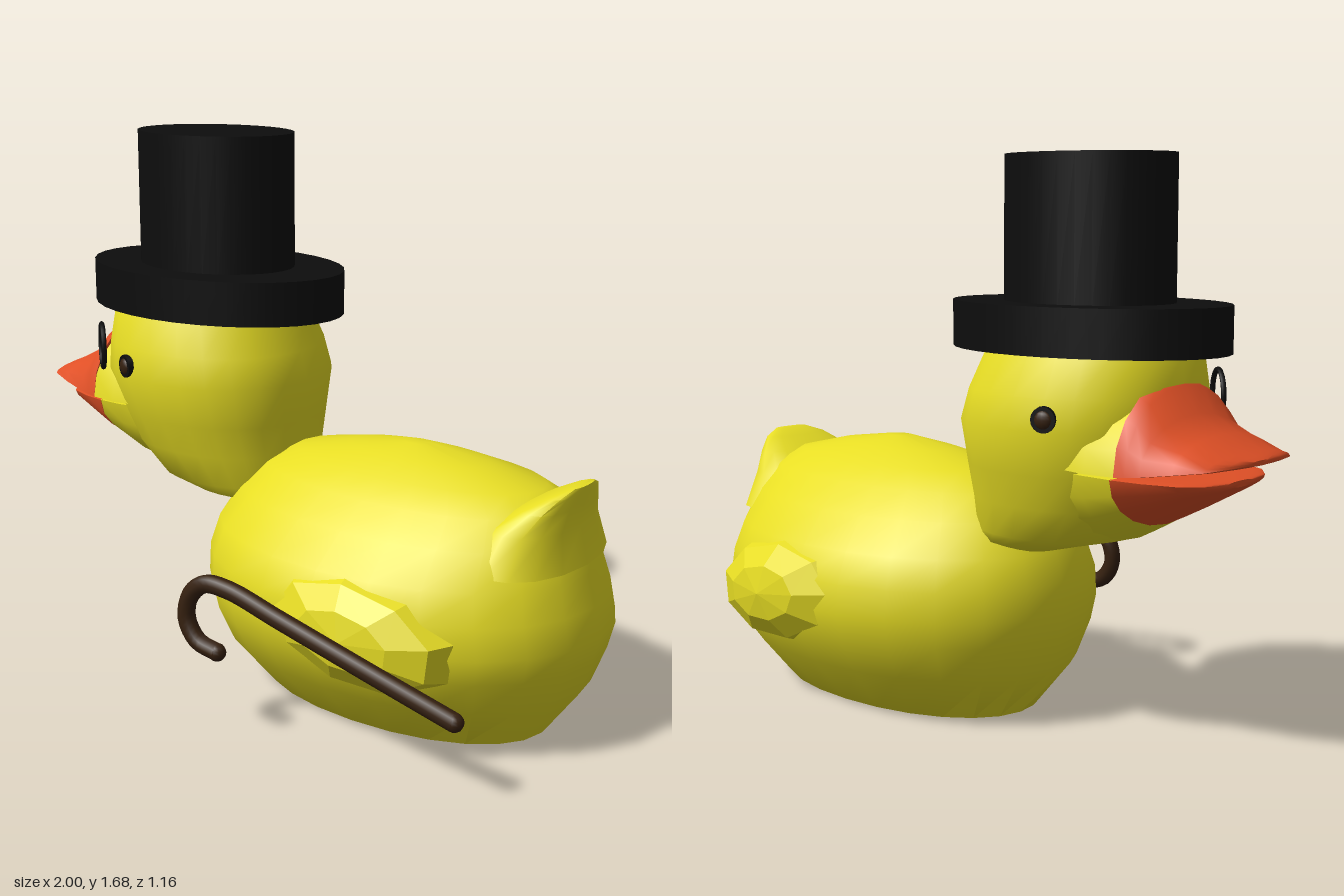
import * as THREE from 'three';
import { toCreasedNormals } from 'three/addons/utils/BufferGeometryUtils.js';

const mat = (name, color) => {
  const m = new THREE.MeshStandardMaterial({ color });
  m.name = name;
  return m;
};

// Skin a stack of closed rings and cap both ends
function loft(rings, crease = 0.9) {
  const n = rings[0].length, pos = [], idx = [];
  rings.forEach(r => r.forEach(p => pos.push(...p)));
  for (let i = 0; i < rings.length - 1; i++) {
    for (let j = 0; j < n; j++) {
      const k = (j + 1) % n, a = i * n + j, b = i * n + k;
      idx.push(a, a + n, b, b, a + n, b + n);
    }
  }
  [0, rings.length - 1].forEach((r, end) => {
    const c = pos.length / 3;
    pos.push(...[0, 1, 2].map(d => rings[r].reduce((s, p) => s + p[d], 0) / n));
    for (let j = 0; j < n; j++) {
      const a = r * n + j, b = r * n + (j + 1) % n;
      idx.push(c, ...(end ? [b, a] : [a, b]));
    }
  });
  const g = new THREE.BufferGeometry();
  g.setAttribute('position', new THREE.Float32BufferAttribute(pos, 3));
  g.setIndex(idx);
  return toCreasedNormals(g, crease);
}

// Level ring: height, back-to-front extent and half width, slightly squared
function levelRing([y, x0, x1, hw], power, n = 24) {
  const pts = [];
  for (let j = 0; j < n; j++) {
    const t = j / n * Math.PI * 2, c = Math.cos(t), s = Math.sin(t);
    const f = v => Math.sign(v) * Math.abs(v) ** (2 / power);
    pts.push([(x0 + x1) / 2 + f(c) * (x1 - x0) / 2, y, f(s) * hw]);
  }
  return pts;
}

// Jaw section: half dome above (height > 0) or below the bite line
function jawRing([x, hw, base, height], n = 20) {
  const pts = [];
  for (let j = 0; j < n; j++) {
    const t = j / n * Math.PI * 2, s = -Math.sin(t);
    const domed = s * height > 0;
    pts.push([x, base + s * (domed ? Math.abs(height) : 0.006), Math.cos(t) * hw]);
  }
  return pts;
}

export function createModel() {
  const yellow = mat('yellow', 0xe8de24);
  const orange = mat('orange', 0xe05026);
  const black = mat('black', 0x0d0d0d);
  const brown = mat('dark brown', 0x35200f);

  const model = new THREE.Group();
  model.name = 'duck';
  const duck = new THREE.Group();
  duck.name = 'duckBody';
  duck.position.z = -0.06;
  model.add(duck);

  const add = (parent, name, geometry, material) => {
    const m = new THREE.Mesh(geometry, material);
    m.name = name;
    parent.add(m);
    return m;
  };

  // Body with flat base
  add(duck, 'body', loft([
    [0, -0.15, 0.83, 0.28], [0.15, -0.27, 0.94, 0.41], [0.26, -0.305, 0.98, 0.47],
    [0.34, -0.32, 1.0, 0.49], [0.43, -0.315, 0.98, 0.485], [0.52, -0.29, 0.955, 0.445],
    [0.615, -0.23, 0.93, 0.355], [0.69, -0.16, 0.89, 0.27], [0.74, -0.05, 0.8, 0.2],
    [0.78, 0.14, 0.62, 0.11], [0.808, 0.33, 0.42, 0.03],
  ].map(r => levelRing(r, 2.1))), yellow);

  // Upturned tail
  add(duck, 'tail', loft([
    [0.55, 0.6, 0.95, 0.28], [0.66, 0.68, 0.925, 0.22], [0.72, 0.78, 0.93, 0.17],
    [0.76, 0.86, 0.937, 0.12], [0.782, 0.91, 0.94, 0.06],
  ].map(r => levelRing(r, 2.2, 16))), yellow);

  // Head and neck
  add(duck, 'head', loft([
    [0.53, -0.3, -0.1, 0.1], [0.565, -0.43, -0.07, 0.19], [0.6, -0.57, -0.06, 0.225],
    [0.7, -0.67, -0.06, 0.265], [0.8, -0.71, -0.055, 0.3], [0.93, -0.75, -0.045, 0.335],
    [1.02, -0.75, -0.07, 0.32], [1.13, -0.74, -0.12, 0.285], [1.2, -0.7, -0.15, 0.25],
  ].map(r => levelRing(r, 2.25))), yellow);

  // Cheeks and beak: [x, half width, bite line, height]
  const jaws = [
    ['upperCheek', yellow, [[-0.5, 0.27, 0.83, 0.2], [-0.62, 0.28, 0.826, 0.22], [-0.72, 0.265, 0.825, 0.23]]],
    ['upperBeak', orange, [[-0.715, 0.266, 0.825, 0.25], [-0.75, 0.262, 0.828, 0.225], [-0.79, 0.253, 0.832, 0.145],
      [-0.88, 0.23, 0.845, 0.085], [-0.96, 0.2, 0.856, 0.032], [-0.985, 0.13, 0.86, 0.02], [-1, 0.05, 0.864, 0.008]]],
    ['lowerCheek', yellow, [[-0.5, 0.25, 0.82, -0.24], [-0.6, 0.265, 0.818, -0.21], [-0.7, 0.255, 0.815, -0.15]]],
    ['lowerBeak', orange, [[-0.695, 0.257, 0.815, -0.155], [-0.78, 0.235, 0.812, -0.108],
      [-0.87, 0.2, 0.81, -0.057], [-0.92, 0.14, 0.808, -0.027], [-0.94, 0.06, 0.806, -0.012]]],
  ];
  for (const [name, material, rows] of jaws) {
    add(duck, name, loft(rows.map(r => jawRing(r))), material);
  }

  for (const side of [1, -1]) {
    const label = side > 0 ? 'left' : 'right';

    // Faceted wing bulging from the flank
    const wingGeo = new THREE.SphereGeometry(1, 9, 6).rotateX(Math.PI / 2).toNonIndexed();
    wingGeo.computeVertexNormals();
    const wing = add(duck, label + 'Wing', wingGeo, yellow);
    wing.scale.set(0.31, 0.17, 0.13);
    wing.position.set(0.46, 0.36, side * 0.395);
    wing.rotation.set(0, side * 0.05, -0.12);

    // Eye: dark rim with a brown centre
    const eye = new THREE.Group();
    eye.name = label + 'Eye';
    eye.position.set(-0.51, 0.965, side * 0.3);
    eye.rotation.y = side > 0 ? -0.35 : Math.PI + 0.35;
    const rim = add(eye, 'eyeRim', new THREE.CylinderGeometry(0.036, 0.042, 0.05, 16), black);
    rim.rotation.x = Math.PI / 2;
    const pupil = add(eye, 'eyeCentre', new THREE.SphereGeometry(0.026, 12, 8), brown);
    pupil.position.z = 0.022;
    pupil.scale.z = 0.5;
    duck.add(eye);
  }

  // Oval top hat
  const hat = new THREE.Group();
  hat.name = 'topHat';
  hat.position.set(-0.4, 0, -0.05);
  const brim = add(hat, 'brim', new THREE.CylinderGeometry(1, 1, 0.135, 32), black);
  brim.scale.set(0.45, 1, 0.31);
  brim.position.y = 1.1975;
  const crown = add(hat, 'crown', new THREE.CylinderGeometry(1, 1, 0.43, 32), black);
  crown.scale.set(0.27, 1, 0.205);
  crown.position.y = 1.465;
  model.add(hat);

  // Monocle ring
  const monocle = add(model, 'monocle', new THREE.TorusGeometry(0.07, 0.008, 8, 28), black);
  monocle.scale.x = 0.9;
  monocle.position.set(-0.675, 1.0, 0.2);
  monocle.rotation.y = -0.7;

  // Walking cane with hooked handle
  const path = new THREE.CatmullRomCurve3([
    [0.1, 0.265, 0.545], [0.03, 0.285, 0.55], [-0.01, 0.345, 0.55], [0.0, 0.415, 0.545],
    [0.05, 0.46, 0.538], [0.13, 0.458, 0.528], [0.3, 0.405, 0.51], [0.6, 0.312, 0.48], [0.85, 0.235, 0.453],
  ].map(p => new THREE.Vector3(...p)));
  const cane = new THREE.Group();
  cane.name = 'cane';
  add(cane, 'caneShaft', new THREE.TubeGeometry(path, 60, 0.027, 10), brown);
  for (const t of [0, 1]) {
    add(cane, 'caneTip', new THREE.SphereGeometry(0.027, 10, 8), brown).position.copy(path.getPoint(t));
  }
  model.add(cane);

  return model;
}
